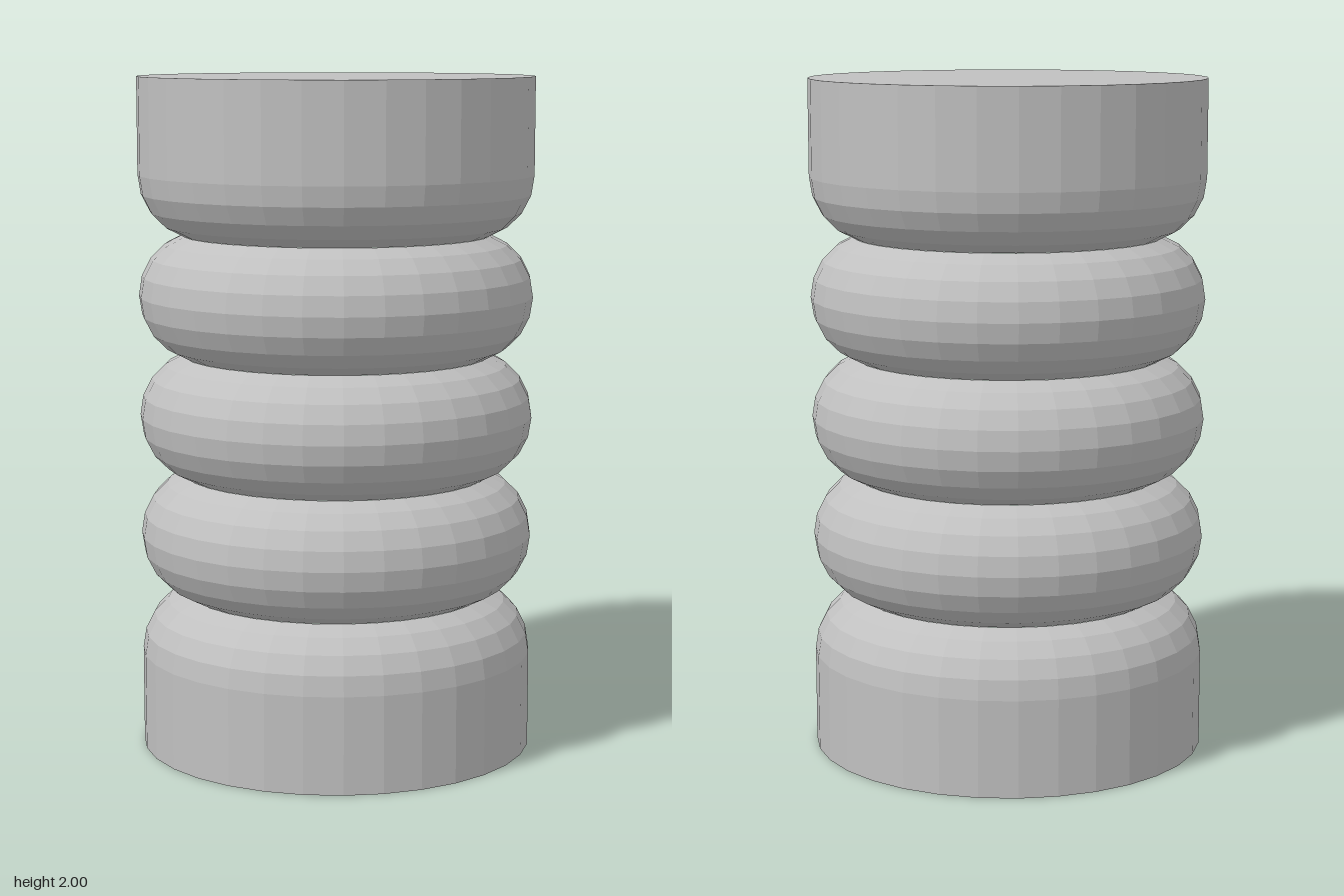
import * as THREE from 'three';

const SIDES = 32;
const HEIGHT = 2;
const RADIUS = 0.585;
const TUBE = 0.1875;        // radius of the rounded bulges
const PITCH = 0.357;        // spacing between bulges
const STEP = Math.PI / 10;  // 18 degrees between rings

// Points of a bulge around height y, from ring a to ring b (ring 0 is the widest)
function bulge(y, a, b) {
  const points = [];
  for (let i = a; i <= b; i++) {
    points.push(new THREE.Vector2(
      RADIUS - TUBE * (1 - Math.cos(i * STEP)),
      y + TUBE * Math.sin(i * STEP)
    ));
  }
  return points;
}

export function createModel() {
  const group = new THREE.Group();
  group.name = 'ribbedColumn';
  const grey = new THREE.MeshStandardMaterial({ color: 0xc0c0c0, flatShading: true });
  grey.name = 'grey';

  const addLathe = (name, points) => {
    const mesh = new THREE.Mesh(new THREE.LatheGeometry(points, SIDES), grey);
    mesh.name = name;
    group.add(mesh);
  };

  const middle = HEIGHT / 2;

  // Base: flat bottom, straight wall, rounded shoulder
  addLathe('base', [
    new THREE.Vector2(0, 0),
    new THREE.Vector2(RADIUS, 0),
    ...bulge(middle - 2 * PITCH, 0, 4),
  ]);

  // Three rounded rings
  for (let i = -1; i <= 1; i++) {
    addLathe(['lowerRing', 'middleRing', 'upperRing'][i + 1], bulge(middle + i * PITCH, -4, 4));
  }

  // Top: rounded underside, straight wall, flat lid
  addLathe('top', [
    ...bulge(middle + 2 * PITCH, -4, 0),
    new THREE.Vector2(RADIUS, HEIGHT),
    new THREE.Vector2(0, HEIGHT),
  ]);

  return group;
}
